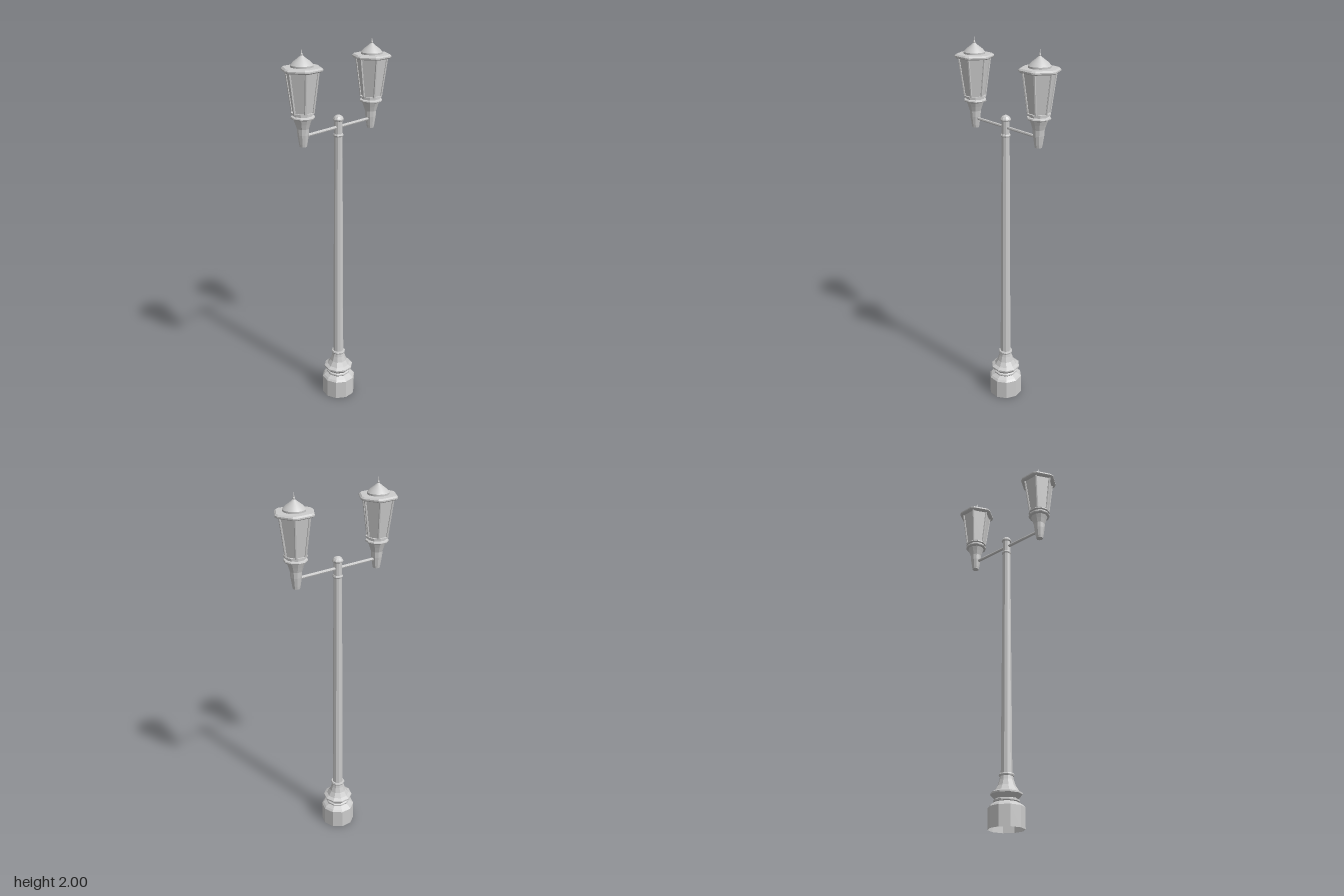
import * as THREE from 'three';

const material = new THREE.MeshStandardMaterial({ color: 0xcccccc, flatShading: true, side: THREE.DoubleSide });
const smoothMaterial = new THREE.MeshStandardMaterial({ color: 0xcccccc, side: THREE.DoubleSide });

// Faceted turning: profile of [radius, y], with one corner pointing along x
function turned(name, profile, sides, mat = material) {
  const points = profile.map(([r, y]) => new THREE.Vector2(r, y));
  const geometry = new THREE.LatheGeometry(points, sides, Math.PI / 2);
  const mesh = new THREE.Mesh(geometry, mat);
  mesh.name = name;
  return mesh;
}

// Straight bar between two points
function bar(name, from, to, radius, sides) {
  const dir = to.clone().sub(from);
  const mesh = new THREE.Mesh(new THREE.CylinderGeometry(radius, radius, dir.length(), sides), material);
  mesh.position.copy(from).add(to).multiplyScalar(0.5);
  mesh.quaternion.setFromUnitVectors(new THREE.Vector3(0, 1, 0), dir.normalize());
  mesh.name = name;
  return mesh;
}

// Hexagonal lid with clipped corners: gather a 12-sided turning into corner pairs
function createLid() {
  const profile = [[0.07, 1.893], [0.094, 1.893], [0.1005, 1.898], [0.1005, 1.905], [0.092, 1.912], [0, 1.915]];
  const lid = turned('lanternLid', profile, 12);
  const position = lid.geometry.attributes.position;
  const step = Math.PI / 3;
  for (let i = 0; i < position.count; i++) {
    const x = position.getX(i), z = position.getZ(i);
    const radius = Math.hypot(x, z);
    const angle = Math.atan2(z, x) + Math.PI / 12;
    const corner = Math.round(angle / step) * step;
    const clipped = corner + Math.sign(angle - corner) * 0.1;
    position.setX(i, radius * Math.cos(clipped));
    position.setZ(i, radius * Math.sin(clipped));
  }
  lid.geometry.computeVertexNormals();
  return lid;
}

function createLantern() {
  const lantern = new THREE.Group();
  lantern.name = 'lantern';

  // Cup and collar
  lantern.add(turned('lanternCup', [
    [0, 1.53], [0.018, 1.53], [0.021, 1.545], [0.028, 1.59], [0.03, 1.62],
    [0.038, 1.645], [0.046, 1.667],
  ], 10));
  lantern.add(turned('lanternCollar', [
    [0.044, 1.665], [0.058, 1.67], [0.06, 1.675], [0.058, 1.68],
    [0.048, 1.683], [0.048, 1.69], [0.058, 1.692], [0.058, 1.7], [0, 1.7],
  ], 10));

  // Tapered six-sided glass with a bar on each corner
  lantern.add(turned('lanternGlass', [[0.052, 1.698], [0.08, 1.9]], 6));
  for (let i = 0; i < 6; i++) {
    const c = Math.cos(i * Math.PI / 3), s = Math.sin(i * Math.PI / 3);
    lantern.add(bar('cornerBar',
      new THREE.Vector3(0.053 * c, 1.697, 0.053 * s),
      new THREE.Vector3(0.081 * c, 1.9, 0.081 * s), 0.006, 6));
  }
  lantern.add(createLid());

  // Round cap and finial
  lantern.add(turned('lanternCapRim', [[0.055, 1.908], [0.055, 1.922]], 24, smoothMaterial));
  lantern.add(turned('lanternCap', [[0.055, 1.922], [0.04, 1.938], [0.02, 1.953], [0.005, 1.966]], 24, smoothMaterial));
  lantern.add(turned('finial', [
    [0.004, 1.963], [0.0055, 1.968], [0.0055, 1.972], [0.003, 1.977], [0, 2.0],
  ], 8));
  return lantern;
}

export function createModel() {
  const model = new THREE.Group();
  model.name = 'doubleStreetLamp';

  // Ten-sided plinth, open underneath
  const post = new THREE.Group();
  post.name = 'post';
  post.add(turned('plinth', [
    [0.092, 0], [0.092, 0.105], [0.083, 0.115], [0.062, 0.128],
  ], 10));
  post.add(turned('flaredFoot', [
    [0.062, 0.128], [0.066, 0.132], [0.066, 0.14], [0.058, 0.145], [0.08, 0.167], [0.08, 0.175],
    [0.062, 0.185], [0.046, 0.21], [0.036, 0.24], [0.032, 0.26],
  ], 10));

  // Tapered shaft with ring mouldings and a small domed top
  post.add(turned('shaft', [[0.029, 0.255], [0.021, 1.62]], 10));
  const ring = (name, radius, y) => post.add(turned(name, [
    [0.02, y - 0.008], [radius - 0.003, y - 0.007], [radius, y], [radius - 0.003, y + 0.007], [0.02, y + 0.008],
  ], 10));
  ring('lowerRing', 0.039, 0.265);
  ring('upperRing', 0.027, 1.538);
  post.add(turned('postCap', [
    [0.02, 1.61], [0.027, 1.615], [0.028, 1.621], [0.025, 1.627], [0.019, 1.635], [0.008, 1.641], [0, 1.643],
  ], 10));
  model.add(post);

  // Cross arm carrying the two lanterns
  model.add(bar('crossArm', new THREE.Vector3(-0.235, 1.58, 0), new THREE.Vector3(0.235, 1.58, 0), 0.008, 8));
  for (const side of [-1, 1]) {
    const lantern = createLantern();
    lantern.name = side > 0 ? 'leftLantern' : 'rightLantern';
    lantern.position.x = side * 0.245;
    model.add(lantern);
  }
  // Post and lanterns share a slight offset to the rear
  model.position.z = -0.002;
  return model;
}
